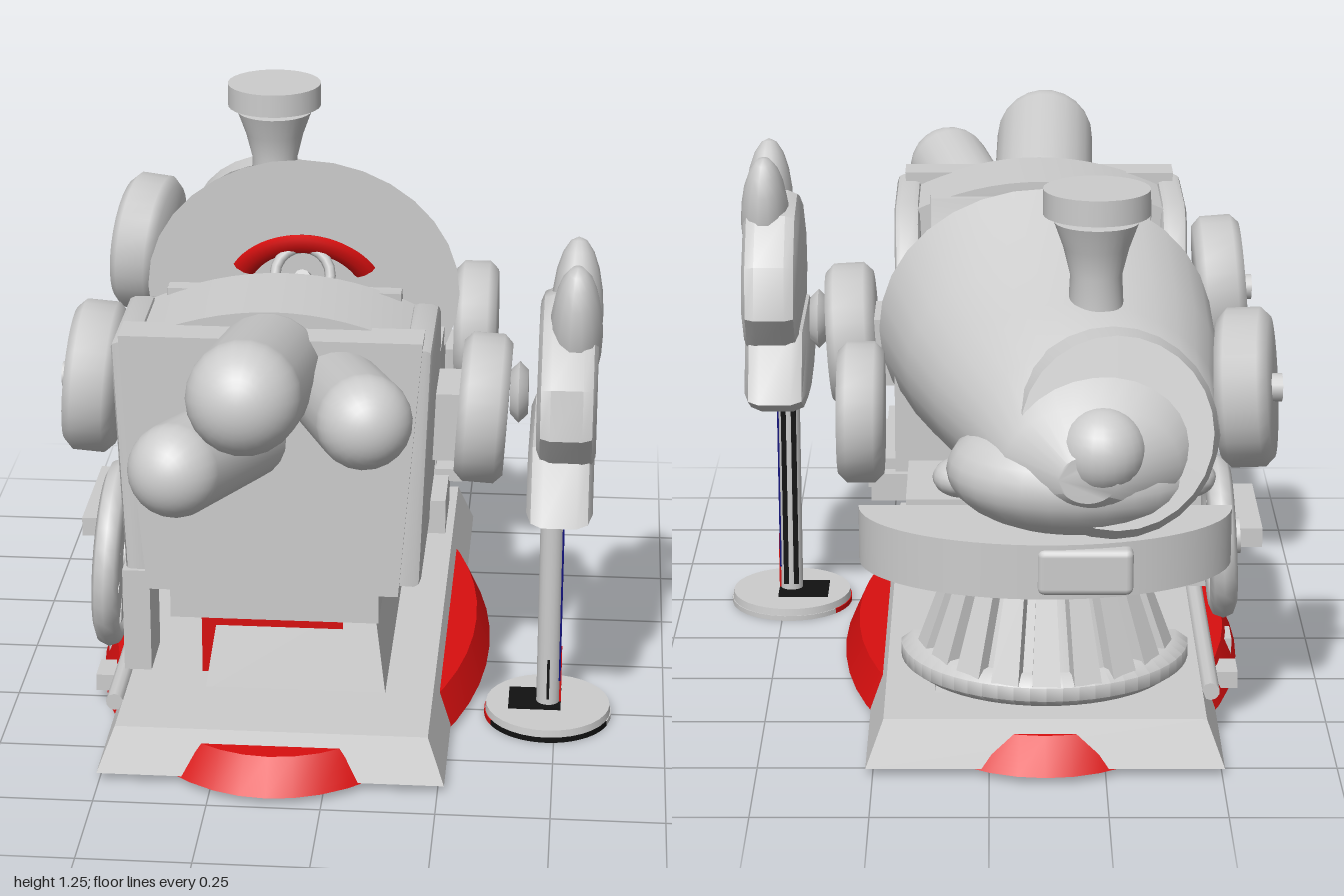
import * as THREE from 'three';
import { toCreasedNormals } from 'three/addons/utils/BufferGeometryUtils.js';
import { RoundedBoxGeometry } from 'three/addons/geometries/RoundedBoxGeometry.js';

const CX = -0.12; // centre line of the ride
const mat = (name, color) => {
  const m = new THREE.MeshStandardMaterial({ color, side: THREE.DoubleSide });
  m.name = name;
  return m;
};

export function createModel() {
  const grey = mat('light grey', 0xcccccc), red = mat('red', 0xd80f0f);
  const blue = mat('blue', 0x10107c), black = mat('black', 0x111111);
  const model = new THREE.Group();

  const add = (name, geo, m, pos = [0, 0, 0], rot = [0, 0, 0], parent = model) => {
    const mesh = new THREE.Mesh(geo, m);
    mesh.name = name;
    mesh.position.set(...pos);
    mesh.rotation.set(...rot);
    parent.add(mesh);
    return mesh;
  };
  const box = (name, w, h, d, pos, m = grey, rot) => add(name, new THREE.BoxGeometry(w, h, d), m, pos, rot);

  // box whose top is scaled in x and z
  const taper = (w, h, d, sx, sz) => {
    const g = new THREE.BoxGeometry(w, h, d), p = g.attributes.position;
    for (let i = 0; i < p.count; i++) if (p.getY(i) > 0) p.setXYZ(i, p.getX(i) * sx, p.getY(i), p.getZ(i) * sz);
    g.computeVertexNormals();
    return g;
  };

  // elliptical stations [z, cx, cy, rx, ry] running towards -z
  const loft = (st, n = 32) => {
    const pos = [], idx = [];
    for (const [z, cx, cy, rx, ry] of st) for (let i = 0; i < n; i++) {
      const a = i / n * Math.PI * 2;
      pos.push(cx + rx * Math.cos(a), cy + ry * Math.sin(a), z);
    }
    for (let s = 0; s < st.length - 1; s++) for (let i = 0; i < n; i++) {
      const a = s * n + i, b = s * n + (i + 1) % n;
      idx.push(a, a + n, b, b, a + n, b + n);
    }
    const last = (st.length - 1) * n;
    for (let i = 1; i < n - 1; i++) idx.push(0, i, i + 1, last, last + i + 1, last + i);
    const g = new THREE.BufferGeometry();
    g.setAttribute('position', new THREE.Float32BufferAttribute(pos, 3));
    g.setIndex(idx);
    return toCreasedNormals(g, 0.7);
  };

  // side profile of [z, y] points given thickness in x
  const sidePlate = (pts, thick, bevel) => {
    const g = new THREE.ExtrudeGeometry(new THREE.Shape(pts.map(p => new THREE.Vector2(...p))), {
      depth: thick - 2 * bevel, bevelSize: bevel, bevelThickness: bevel, bevelOffset: -bevel, bevelSegments: 2,
    });
    return toCreasedNormals(g.translate(0, 0, -thick / 2 + bevel).rotateY(-Math.PI / 2), 0.6);
  };

  const lathe = (pts, start = 0, sweep = Math.PI * 2) =>
    toCreasedNormals(new THREE.LatheGeometry(pts.map(p => new THREE.Vector2(...p)), 28, start, sweep), 0.9);

  // thick rounded disc with its axis along x
  const disc = (name, r, w, pos, rot) => {
    const b = 0.02, h = w / 2;
    add(name, lathe([[0, -h], [r - b, -h], [r, -h + b], [r, h - b], [r - b, h], [0, h]]).rotateZ(-Math.PI / 2), grey, pos, rot);
  };

  // ---- Base: a tapered slab with an oval red skirt showing at its sides ----
  add('base', taper(0.77, 0.1, 1.46, 0.9, 0.95), grey, [CX, 0.07, -0.07]);
  add('ovalSkirt', toCreasedNormals(new THREE.CylinderGeometry(0.93, 1, 0.073, 48).scale(0.457, 1, 0.79), 0.6), red, [CX, 0.0535, -0.05]);
  add('plinth', taper(0.41, 0.23, 1.04, 0.83, 0.88), grey, [-0.085, 0.225, -0.1]);
  box('plinthCore', 0.32, 0.205, 0.92, [-0.14, 0.2425, -0.08], red);
  // rail and brackets on one side of the base
  add('baseRail', new THREE.CylinderGeometry(0.02, 0.02, 1.1, 10).rotateX(Math.PI / 2), grey, [-0.485, 0.115, -0.05]);
  for (let i = 0; i < 4; i++) box('baseBracket', 0.08, 0.04, 0.08, [-0.52, 0.055, -0.35 + i * 0.2]);

  // ---- Undercarriage ----
  box('chassis', 0.46, 0.15, 1.15, [CX, 0.42, -0.05]);
  box('floor', 0.6, 0.1, 1.0, [CX, 0.5, -0.07]);
  box('rearBracket', 0.06, 0.24, 0.14, [-0.42, 0.35, 0.49]);
  for (const s of [-1, 1]) {
    box('runningBoard', 0.1, 0.03, 0.4, [CX + s * 0.34, 0.51, -0.13]);
    box('runningBoardHanger', 0.09, 0.1, 0.05, [CX + s * 0.34, 0.5, -0.27]);
    box('sideStep', 0.1, 0.08, 0.2, [CX + s * 0.31, 0.47, 0.12]);
  }
  for (const [y, x, w] of [[0.25, -0.42, 0.16], [0.345, -0.53, 0.18], [0.44, -0.44, 0.14]]) box('boardingStep', w, 0.045, 0.31, [x, y, -0.095]);

  // ---- Half-round cow catcher and bumper ----
  const half = [Math.PI / 2, Math.PI];
  add('catcher', lathe([[0.26, 0.24], [0.185, 0.44]], ...half), grey, [CX, 0, -0.62]);
  box('catcherBack', 0.44, 0.22, 0.01, [CX, 0.34, -0.62]);
  for (let i = 0; i < 9; i++) {
    const a = Math.PI * (0.1 + i * 0.1);
    const rib = add('catcherRib', taper(0.06, 0.2, 0.03, 0.7, 1), grey, [CX + Math.cos(a) * 0.235, 0.34, -0.62 - Math.sin(a) * 0.235]);
    rib.rotation.set(-0.36, Math.PI / 2 + a, 0, 'YXZ');
  }
  add('catcherFoot', lathe([[0, 0.2], [0.26, 0.2], [0.285, 0.22], [0.285, 0.25], [0.26, 0.27], [0, 0.27]], ...half).scale(1.09, 1, 1), grey, [CX, 0, -0.62]);
  add('bumper', new THREE.CylinderGeometry(1, 1, 0.12, 32, 1, false, ...half).scale(0.4, 1, 0.25), grey, [CX, 0.495, -0.62]);
  add('bumperBlock', new RoundedBoxGeometry(0.2, 0.1, 0.06, 2, 0.015), grey, [-0.2, 0.495, -0.85]);

  // ---- Boiler, turned slightly to one side ----
  add('boiler', loft([
    [-0.25, -0.125, 0.84, 0.37, 0.32], [-0.45, -0.16, 0.805, 0.34, 0.255], [-0.62, -0.185, 0.785, 0.3, 0.22],
    [-0.78, -0.22, 0.765, 0.26, 0.19], [-0.9, -0.21, 0.74, 0.18, 0.13], [-0.98, -0.2, 0.735, 0.06, 0.05],
  ]), grey);
  add('boilerLip', new THREE.SphereGeometry(1, 28, 16).scale(0.27, 0.13, 0.2), grey, [-0.18, 0.69, -0.77]);
  add('nosePlate', new THREE.CylinderGeometry(0.2, 0.22, 0.07, 28).rotateX(-Math.PI / 2), grey, [-0.26, 0.79, -0.84], [0.3, 0.08, 0]);
  add('nose', new THREE.SphereGeometry(0.09, 24, 16), grey, [-0.23, 0.775, -0.91]);
  for (const x of [-0.42, 0.06]) add('cheek', new THREE.SphereGeometry(0.06, 16, 12).scale(1, 0.7, 1), grey, [x, 0.64, -0.68]);

  // ---- Chimney ----
  add('chimney', lathe([[0.06, 0.96], [0.055, 1.06], [0.07, 1.12], [0.09, 1.175], [0, 1.18]]), grey, [-0.225, 0, -0.59]);
  add('chimneyCap', new THREE.CylinderGeometry(0.113, 0.113, 0.055, 28), grey, [-0.225, 1.218, -0.59]);

  // ---- Dashboard ----
  add('dashArc', new THREE.TorusGeometry(0.165, 0.028, 8, 20, 2.1).rotateZ(Math.PI / 2 - 1.05).scale(1, 1, 0.5), red, [-0.12, 0.82, -0.26], [0.4, 0, 0]);
  add('steeringWheel', new THREE.TorusGeometry(0.065, 0.013, 8, 20), grey, [-0.12, 0.9, -0.18], [-0.4, 0, 0]);
  add('steeringColumn', new THREE.CylinderGeometry(0.02, 0.02, 0.1, 10).rotateX(Math.PI / 2), grey, [-0.12, 0.88, -0.21], [-0.4, 0, 0]);

  // ---- Open cab and seat ----
  const arch = new THREE.Shape();
  arch.moveTo(-0.27, 0.43).lineTo(0.27, 0.43).lineTo(0.31, 0.98).quadraticCurveTo(0, 1.13, -0.31, 0.98);
  add('cabBack', toCreasedNormals(new THREE.ExtrudeGeometry(arch, { depth: 0.25, bevelEnabled: false, curveSegments: 16 }), 0.6), grey, [CX, 0, 0.24]);
  add('cabRearPanel', taper(0.55, 0.59, 0.09, 1.18, 1), grey, [CX, 0.725, 0.52]);
  for (const s of [-1, 1]) {
    add('cabSide', sidePlate([
      [0.55, 0.45], [0.55, 1.0], [0.26, 1.0], [0.18, 0.97], [0.1, 0.89], [0.04, 0.8], [-0.04, 0.75], [-0.04, 0.45],
    ], 0.06, 0.015), grey, [CX + s * 0.275, 0, 0], [0, 0, -s * 0.04]);
    box('tubSide', 0.16, 0.24, 0.36, [CX + s * 0.25, 0.635, -0.13]);
  }
  add('seat', sidePlate([
    [0.26, 0.53], [0.26, 1.02], [0.22, 1.02], [0.19, 0.85], [0.14, 0.73], [0.06, 0.67], [-0.06, 0.64], [-0.28, 0.62], [-0.28, 0.53],
  ], 0.52, 0.005), grey, [CX, 0, 0]);

  // ---- Rear plumes ----
  const plume = (a, b, r) => {
    const A = new THREE.Vector3(...a), B = new THREE.Vector3(...b), dir = B.clone().sub(A);
    const mesh = add('rearPlume', new THREE.CapsuleGeometry(r, dir.length(), 10, 22), grey, A.clone().add(B).multiplyScalar(0.5).toArray());
    mesh.quaternion.setFromUnitVectors(new THREE.Vector3(0, 1, 0), dir.normalize());
  };
  plume([-0.13, 0.94, 0.53], [-0.14, 1.015, 0.88], 0.12);
  plume([0.02, 0.89, 0.53], [0.1, 0.95, 0.83], 0.1);
  plume([-0.18, 0.79, 0.53], [-0.29, 0.83, 0.83], 0.1);

  // ---- Side discs ----
  disc('frontDisc', 0.155, 0.1, [0.28, 0.7, -0.42]);
  disc('rearDisc', 0.17, 0.11, [0.32, 0.71, 0.14], [0, 0, -0.06]);
  disc('rearDiscHub', 0.07, 0.04, [0.4, 0.75, 0.14]);
  box('rearDiscMount', 0.12, 0.16, 0.16, [0.22, 0.69, 0.14]);
  for (const [y, z, turn] of [[0.82, -0.62, 0.15], [0.8, 0.24, 0]]) {
    disc('sideDisc', 0.17, 0.11, [-0.545, y, z], [0, -turn, -0.08]);
    add('sideDiscHub', new THREE.CylinderGeometry(0.03, 0.03, 0.04, 14).rotateZ(Math.PI / 2), grey, [-0.6, y, z]);
  }

  // ---- Spoked wheels ----
  const wheel = (r, y, z) => {
    const g = new THREE.Group();
    g.name = 'spokedWheel';
    g.position.set(-0.505, y, z);
    g.rotation.z = -0.05;
    model.add(g);
    add('rim', new THREE.TorusGeometry(r - 0.03, 0.03, 8, 28).rotateY(Math.PI / 2), grey, [0, 0, 0], [0, 0, 0], g);
    add('web', new THREE.CylinderGeometry(r - 0.03, r - 0.03, 0.016, 28).rotateZ(Math.PI / 2), grey, [0, 0, 0], [0, 0, 0], g);
    for (let i = 0; i < 8; i++) {
      const a = i * Math.PI / 4, h = r / 2;
      add('spoke', taper(0.04, r - 0.04, 0.05, 1, 2), grey, [0, Math.cos(a) * h, Math.sin(a) * h], [a, 0, 0], g);
    }
    add('axle', new THREE.CylinderGeometry(0.04, 0.04, 0.09, 14).rotateZ(Math.PI / 2), grey, [0, 0, 0], [0, 0, 0], g);
  };
  wheel(0.215, 0.385, 0.28);
  wheel(0.18, 0.43, -0.47);

  // ---- Standing post ----
  const px = 0.483, pz = 0.255;
  add('postFoot', new THREE.CylinderGeometry(0.142, 0.145, 0.026, 32), grey, [px, 0.016, pz]);
  for (const [m, start, sweep] of [[black, 0, 1.2], [grey, 1.2, 2.8], [red, 4, 1.2], [black, 5.2, 1.0832]])
    add('postFootSole', new THREE.CylinderGeometry(0.146, 0.146, 0.012, 12, 1, false, start, sweep), m, [px, 0.006, pz]);
  box('postCollar', 0.12, 0.008, 0.1, [px - 0.03, 0.031, pz - 0.01], black);
  add('post', new THREE.CylinderGeometry(0.027, 0.027, 0.5, 18), grey, [px, 0.28, pz]);
  box('postStripe', 0.006, 0.42, 0.024, [px + 0.025, 0.3, pz], blue);
  box('postStripeFoot', 0.006, 0.14, 0.014, [px + 0.027, 0.1, pz], red);
  for (const s of [-1, 1]) box('postBackStripe', 0.012, 0.46, 0.006, [px + s * 0.012, 0.28, pz - 0.024], black);
  box('postFrontStripe', 0.006, 0.1, 0.006, [px, 0.1, pz + 0.026], black);

  // ---- Post top: flared bell, faceted middle and two upright lobes ----
  add('topBell', sidePlate([[0.51, 0.58], [0.39, 0.53], [0.26, 0.515], [0.11, 0.53], [0, 0.58], [0.09, 0.74], [0.42, 0.74]], 0.145, 0.035), grey, [0.5, 0, 0]);
  add('topMiddle', sidePlate([[0.42, 0.68], [0.5, 0.78], [0.48, 0.89], [0.36, 1.0], [0.26, 1.03], [0.13, 1.0], [0.04, 0.9], [0.01, 0.78], [0.09, 0.68]], 0.13, 0.03), grey, [0.51, 0, 0]);
  for (const [z, tilt] of [[0.33, 0.25], [0.2, -0.25]])
    add('topLobe', new THREE.SphereGeometry(1, 14, 10).scale(0.058, 0.17, 0.085), grey, [0.525, 0.965, z], [tilt, 0, 0]);

  return model;
}
